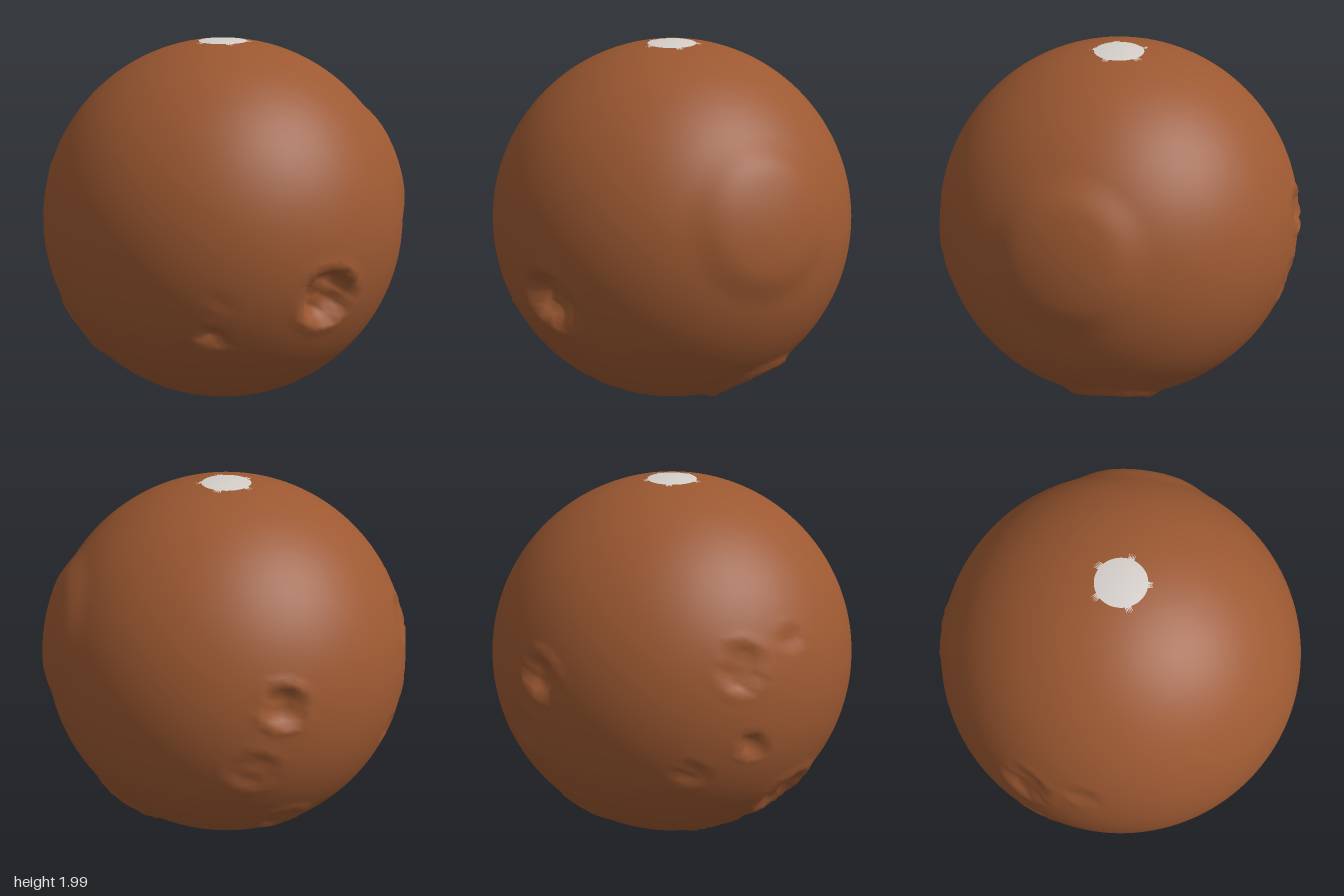
import * as THREE from 'three';
import { mergeVertices } from 'three/addons/utils/BufferGeometryUtils.js';

const R = 0.975;
const CENTER = new THREE.Vector3(-0.008, 1.025, 0.003);
const smooth = THREE.MathUtils.smoothstep;

// Craters: direction, angular radius, depth, rim height, roughness
const CRATERS = [
  [[0.29, -0.17, 0.94], 0.165, 0.085, 0.008, 0.012], // large front pit
  [[-0.31, -0.33, 0.89], 0.065, 0.035, 0.006, 0.006], // small front pit
  [[-0.25, -0.12, 0.96], 0.05, 0.008, 0, 0.006],
  [[0.6, -0.79, -0.1], 0.2, 0.03, 0.025, 0.016], // lower side crater
  [[-0.81, -0.58, -0.02], 0.18, 0.025, 0.012, 0.012], // opposite side crater
  [[0, 0.175, -0.98], 0.11, 0.045, 0.014, 0.01], // back pit
  [[-0.85, 0.29, -0.43], 0.13, 0.015, 0.006, 0.01],
  [[-0.904, -0.118, -0.406], 0.07, 0.035, 0.006, 0.006],
  [[-0.916, 0.374, -0.13], 0.07, 0.01, 0.004, 0.006],
  [[0.15, -0.17, -0.97], 0.13, 0.01, 0.004, 0.006],
  [[-0.72, -0.244, -0.65], 0.08, 0.01, 0.002, 0.005],
  [[-0.07, -0.63, -0.77], 0.13, 0.006, 0.01, 0.006],
  [[-0.5, -0.83, -0.2], 0.12, 0.006, 0.01, 0.007],
].map(([dir, ...rest]) => [new THREE.Vector3(...dir).normalize(), ...rest]);

const SWELL = new THREE.Vector3(0.95, 0.28, 0.06).normalize();

// Repeatable noise between -1 and 1, in blocky patches
function noise(d) {
  const k = [d.x, d.y, d.z].map((v) => Math.round(v * 22));
  const s = Math.sin(k[0] * 12.99 + k[1] * 78.23 + k[2] * 37.72) * 43758.5;
  return 2 * (s - Math.floor(s)) - 1;
}

// Height of the ground above the plain sphere in a direction
function height(d) {
  let h = 0;
  for (const [dir, radius, depth, rim, rough] of CRATERS) {
    const t = d.angleTo(dir) / radius;
    if (t > 1.5) continue;
    h -= depth * (1 - smooth(t, 0.65, 1));
    h += rim * Math.exp(-(((t - 1.05) / 0.2) ** 2));
    h += rough * noise(d) * (1 - smooth(t, 0.7, 1.2));
  }
  // Broad low swelling on one side
  h += 0.025 * (1 - smooth(d.angleTo(SWELL), 0.24, 0.44));
  // Raised south pole with a slightly sunken middle
  const south = Math.acos(THREE.MathUtils.clamp(-d.y, -1, 1));
  h += 0.048 * (1 - smooth(south, 0.12, 0.26)) - 0.008 * (1 - smooth(south, 0, 0.12));
  return h;
}

export function createModel() {
  const group = new THREE.Group();
  const soil = new THREE.MeshStandardMaterial({ name: 'rustySoil', color: 0x9c5831 });
  const ice = new THREE.MeshStandardMaterial({ name: 'paleIce', color: 0xd6d0cb });

  // Displaced globe with welded seam
  let globe = new THREE.SphereGeometry(R, 128, 96);
  globe.deleteAttribute('uv');
  globe.deleteAttribute('normal');
  globe = mergeVertices(globe, 1e-5);
  const pos = globe.attributes.position;
  const d = new THREE.Vector3();
  for (let i = 0; i < pos.count; i++) {
    d.fromBufferAttribute(pos, i).normalize();
    const r = R + height(d);
    d.multiplyScalar(r).add(CENTER);
    pos.setXYZ(i, d.x, Math.max(0, d.y), d.z);
  }
  globe.computeVertexNormals();

  // Sort the faces into ground and the two polar caps
  const faces = { surface: [], northCap: [], southCap: [] };
  const index = globe.index.array;
  for (let i = 0; i < index.length; i += 3) {
    const tri = [index[i], index[i + 1], index[i + 2]];
    const c = new THREE.Vector3();
    for (const k of tri) c.add(d.fromBufferAttribute(pos, k));
    c.divideScalar(3).sub(CENTER);
    const edge = 0.133 + 0.006 * Math.sin(5 * Math.atan2(c.z, c.x));
    const polar = Math.hypot(c.x, c.z) < edge;
    faces[!polar ? 'surface' : c.y > 0 ? 'northCap' : 'southCap'].push(...tri);
  }
  for (const [name, list] of Object.entries(faces)) {
    const part = new THREE.BufferGeometry();
    part.setAttribute('position', pos);
    part.setAttribute('normal', globe.attributes.normal);
    part.setIndex(list);
    const mesh = new THREE.Mesh(part, name === 'surface' ? soil : ice);
    mesh.name = name;
    group.add(mesh);
  }
  return group;
}
